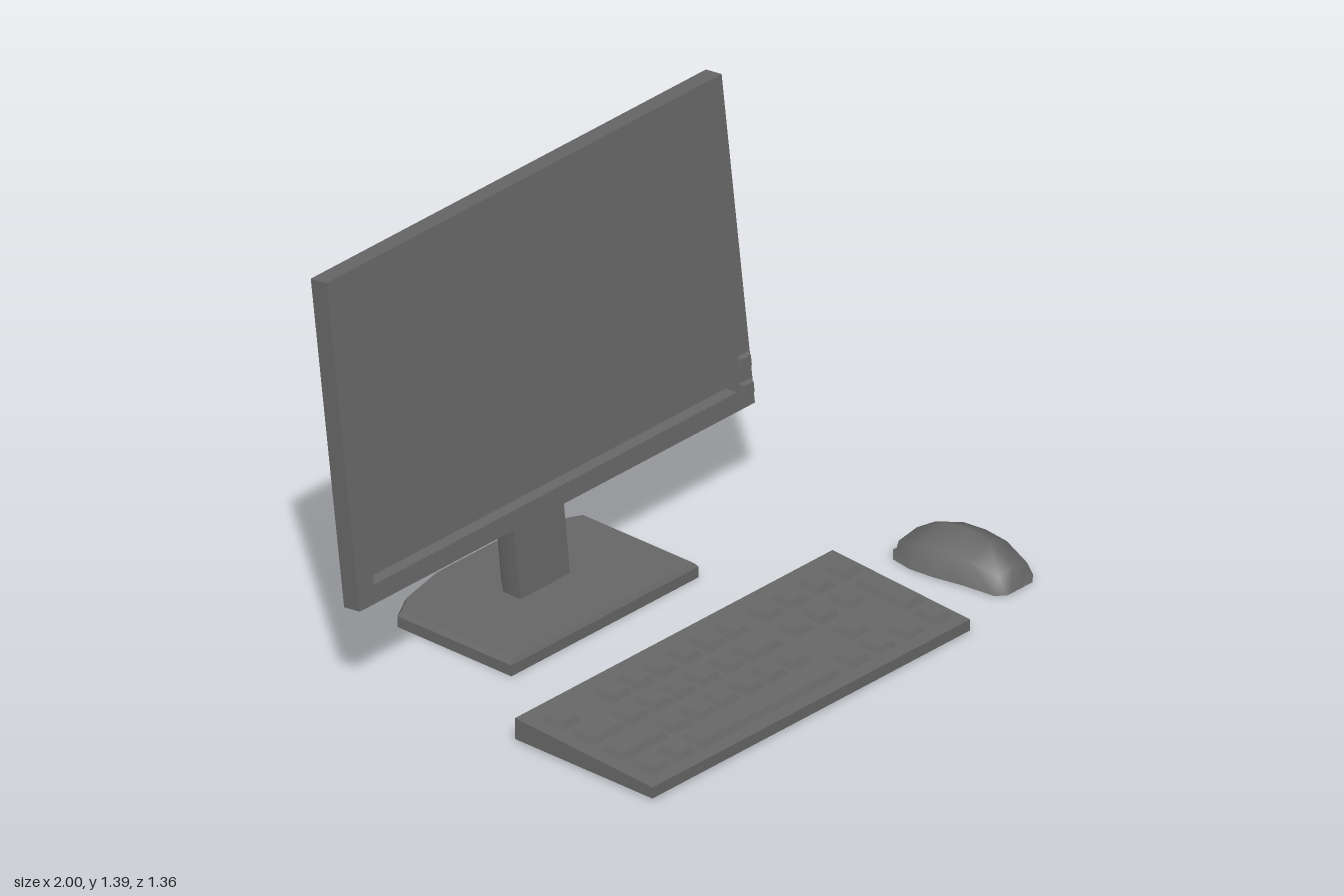
import * as THREE from 'three';
import { toCreasedNormals } from 'three/addons/utils/BufferGeometryUtils.js';

const material = new THREE.MeshStandardMaterial({ color: 0x666666, side: THREE.DoubleSide });

function makeMesh(name, geometry) {
  const mesh = new THREE.Mesh(geometry, material);
  mesh.name = name;
  return mesh;
}

// Skin a series of equal-length cross-sections; edges sharper than the crease angle stay hard
function loft(name, rings, { closed = true, start = false, end = true, crease = 0.01 } = {}) {
  const n = rings[0].length, index = [];
  const last = (rings.length - 1) * n;
  for (let i = 0; i < rings.length - 1; i++) {
    for (let j = 0; j < (closed ? n : n - 1); j++) {
      const k = (j + 1) % n;
      const a = i * n + j, b = i * n + k, c = b + n, d = a + n;
      index.push(a, b, c, a, c, d);
    }
  }
  for (let j = 1; j < n - 1; j++) {
    if (start) index.push(0, j + 1, j);
    if (end) index.push(last, last + j, last + j + 1);
  }
  const geometry = new THREE.BufferGeometry();
  geometry.setAttribute('position', new THREE.Float32BufferAttribute(rings.flat(2), 3));
  geometry.setIndex(index);
  return makeMesh(name, toCreasedNormals(geometry, crease));
}

// Thin sheet seen from above, with holes; height gives y for each z
function sheet(name, outline, holes, height) {
  const points = (ring) => ring.map(([x, , z]) => new THREE.Vector2(x, -z));
  const shape = new THREE.Shape(points(outline));
  shape.holes = holes.map((ring) => new THREE.Path(points(ring)));
  const geometry = new THREE.ShapeGeometry(shape);
  const p = geometry.attributes.position;
  for (let i = 0; i < p.count; i++) {
    const z = -p.getY(i);
    p.setXYZ(i, p.getX(i), height(z), z);
  }
  geometry.computeVertexNormals();
  return makeMesh(name, geometry);
}

// Upright rectangle at depth z
const rect = (x0, x1, y0, y1, z) => [[x0, y0, z], [x1, y0, z], [x1, y1, z], [x0, y1, z]];

function createMonitor() {
  const monitor = new THREE.Group();
  monitor.name = 'monitor';
  const recess = rect(-0.92, 0.655, 0.068, 0.994, -0.036);
  monitor.add(loft('bezel', [
    rect(-1, 0.733, 0, 1.062, -0.063),
    rect(-1, 0.733, 0, 1.062, 0),
    rect(-0.93, 0.663, 0.06, 1.002, 0),
    recess,
  ], { start: true, end: false }));
  monitor.add(loft('screen', [recess]));
  for (const y of [0.037, 0.123]) {
    monitor.add(loft('monitorButton', [
      rect(0.675, 0.726, y, y + 0.046, 0),
      rect(0.681, 0.72, y + 0.006, y + 0.04, 0.016),
    ]));
  }
  monitor.position.set(0, 0.333, -0.33);
  monitor.rotation.x = -0.125;
  return monitor;
}

function createStand() {
  const stand = new THREE.Group();
  stand.name = 'stand';

  // Column: hollow and leaning, with softened back corners
  const columnRing = (y, z) => [[-0.242, y, z], [-0.025, y, z], [-0.025, y, z - 0.068],
    [-0.064, y, z - 0.112], [-0.202, y, z - 0.112], [-0.242, y, z - 0.068]];
  const foot = columnRing(0.05, -0.378);
  stand.add(loft('standColumn', [foot, columnRing(1.066, -0.488)], { crease: 0.9 }));

  // Base: hollow plate with a bowed back and a bevelled top edge
  const outline = [[-0.543, -0.142], [0.278, -0.142], [0.278, -0.595], [0.187, -0.643], [0.014, -0.68],
    [-0.286, -0.68], [-0.457, -0.643], [-0.543, -0.595]];
  const baseRing = (y, s) => outline.map(([x, z]) => [-0.133 + (x + 0.133) * s, y, -0.41 + (z + 0.41) * s]);
  const rim = baseRing(0.05, 0.97);
  stand.add(loft('standBase', [baseRing(0, 1), baseRing(0.036, 1), rim], { end: false }));
  stand.add(sheet('standBaseTop', rim, [foot], () => 0.05));
  return stand;
}

function createKeyboard() {
  const keyboard = new THREE.Group();
  keyboard.name = 'keyboard';
  const deck = (z) => 0.044 + (0.678 - z) * 0.06;

  // Front and side walls, open at the back and below
  const corners = [[-0.83, 0.132], [-0.83, 0.678], [0.563, 0.678], [0.563, 0.132]];
  const deckEdge = corners.map(([x, z]) => [x, deck(z), z]);
  keyboard.add(loft('keyboardWalls', [corners.map(([x, z]) => [x, 0.007, z]), deckEdge],
    { closed: false, end: false }));

  // Hollow keys; each one opens through the deck
  const holes = [];
  const keyRing = (x0, x1, z0, z1, lift) =>
    [[x0, z1], [x1, z1], [x1, z0], [x0, z0]].map(([x, z]) => [x, deck(z) + lift, z]);
  const addKey = (x, z, w = 0.082, d = 0.083) => {
    const i = 0.011;
    const bottom = keyRing(x, x + w, z, z + d, 0);
    holes.push(bottom);
    keyboard.add(loft('key', [bottom, keyRing(x + i, x + w - i, z + i, z + d - i, 0.02)]));
  };
  const addRun = (x, z, count, pitch) => {
    for (let i = 0; i < count; i++) addKey(x + i * pitch, z);
  };

  // Back row
  addKey(-0.782, 0.194);
  addRun(-0.558, 0.194, 6, 0.1047);
  addRun(0.11, 0.194, 3, 0.113);
  addKey(0.462, 0.194);
  // Second row, with the tall key on the number pad
  addKey(-0.782, 0.314, 0.147);
  addRun(-0.611, 0.314, 5, 0.1047);
  addKey(-0.087, 0.314, 0.144);
  addRun(0.11, 0.314, 3, 0.113);
  addKey(0.462, 0.314, 0.082, 0.203);
  // Third row
  addKey(-0.782, 0.435, 0.198);
  addRun(-0.558, 0.435, 6, 0.1047);
  addKey(0.217, 0.435);
  // Front row, with the space bar
  addRun(-0.782, 0.549, 2, 0.112);
  addKey(-0.558, 0.549, 0.61);
  addRun(0.101, 0.549, 2, 0.113);
  addKey(0.335, 0.549);
  addKey(0.46, 0.549);

  keyboard.add(sheet('keyboardDeck', deckEdge, holes, deck));
  return keyboard;
}

function createMouse() {
  // Arched sections, back to front: z at foot, z at crown, left x, right x, height, shoulder height ratio
  const sections = [
    [0.173, 0.175, 0.782, 0.908, 0.005, 1],
    [0.215, 0.208, 0.737, 0.957, 0.065, 0.8],
    [0.29, 0.3, 0.725, 0.99, 0.11, 0.65],
    [0.38, 0.38, 0.735, 0.997, 0.121, 0.61],
    [0.47, 0.47, 0.755, 0.987, 0.106, 0.66],
    [0.585, 0.583, 0.77, 0.943, 0.067, 0.8],
    [0.613, 0.613, 0.797, 0.908, 0.005, 1],
  ];
  const rings = sections.map(([zFoot, zTop, x0, x1, h, shoulder]) =>
    [[1, 0], [0.86, shoulder], [0.51, 1], [0.14, shoulder], [0, 0]].map(([u, v]) =>
      [x0 + (x1 - x0) * u, 0.005 + (h - 0.005) * v, zFoot + (zTop - zFoot) * v]));
  return loft('mouse', rings, { closed: false, end: false, crease: 1.4 });
}

export function createModel() {
  const model = new THREE.Group();
  model.name = 'desktopComputerSet';
  model.add(createMonitor(), createStand(), createKeyboard(), createMouse());
  return model;
}
